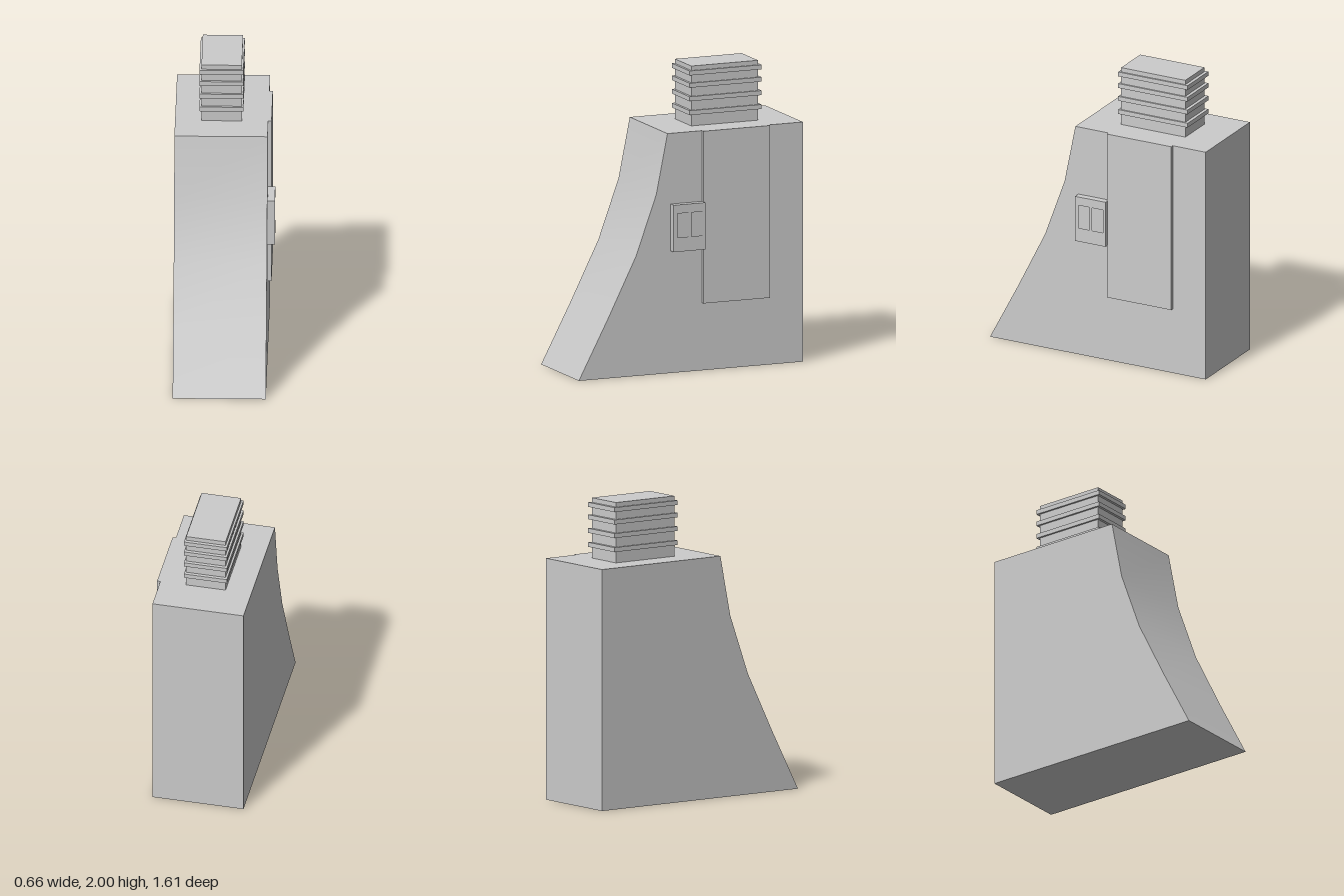
import * as THREE from 'three';
import { toCreasedNormals } from 'three/addons/utils/BufferGeometryUtils.js';

const material = new THREE.MeshStandardMaterial({ color: 0xcccccc });

function part(name, geometry) {
  const mesh = new THREE.Mesh(geometry, material);
  mesh.name = name;
  return mesh;
}

// Box given by its limits on each axis
function box(name, [x0, x1], [y0, y1], [z0, z1]) {
  const geometry = new THREE.BoxGeometry(x1 - x0, y1 - y0, z1 - z0);
  geometry.translate((x0 + x1) / 2, (y0 + y1) / 2, (z0 + z1) / 2);
  return part(name, geometry);
}

// Side profile of [z, y] points, extruded across x from x0 to x1
function sideExtrude(points, x0, x1, holes = []) {
  const toVectors = (list) => list.map(([z, y]) => new THREE.Vector2(-z, y));
  const shape = new THREE.Shape(toVectors(points));
  shape.holes = holes.map((hole) => new THREE.Path(toVectors(hole)));
  const geometry = new THREE.ExtrudeGeometry(shape, { depth: x1 - x0, bevelEnabled: false });
  return geometry.rotateY(Math.PI / 2).translate(x0, 0, 0);
}

const rect = (z0, z1, y0, y1) => [[z0, y0], [z1, y0], [z1, y1], [z0, y1]];

export function createModel() {
  const model = new THREE.Group();
  model.name = 'model';

  // Tapered body with a concave sloping front
  const profile = [
    [-0.8, 0], [0.805, 0], [0.595, 0.4], [0.395, 0.8],
    [0.25, 1.2], [0.17, 1.6], [-0.8, 1.6],
  ];
  model.add(part('body', toCreasedNormals(sideExtrude(profile, -0.33, 0.28), 0.4)));

  // Rectangular neck with four raised ribs
  const neck = new THREE.Group();
  neck.name = 'neck';
  neck.add(box('neckCore', [-0.157, 0.107], [1.6, 2], [-0.555, -0.077]));
  for (const y of [1.69, 1.783, 1.873, 1.955]) {
    neck.add(box('neckRib', [-0.17, 0.118], [y - 0.015, y + 0.015], [-0.577, -0.06]));
  }
  model.add(neck);

  // Thin panel on the side
  model.add(box('sidePanel', [0.27, 0.302], [0.45, 1.6], [-0.555, -0.077]));

  // Latch block with two shallow recesses in its face
  const latch = new THREE.Group();
  latch.name = 'latch';
  const slots = [rect(0.04, 0.12, 0.91, 1.07), rect(-0.06, 0.02, 0.91, 1.07)];
  latch.add(box('latchBase', [0.27, 0.317], [0.815, 1.128], [-0.08, 0.147]));
  latch.add(part('latchFace', sideExtrude(rect(-0.08, 0.147, 0.815, 1.128), 0.317, 0.327, slots)));
  model.add(latch);

  return model;
}
